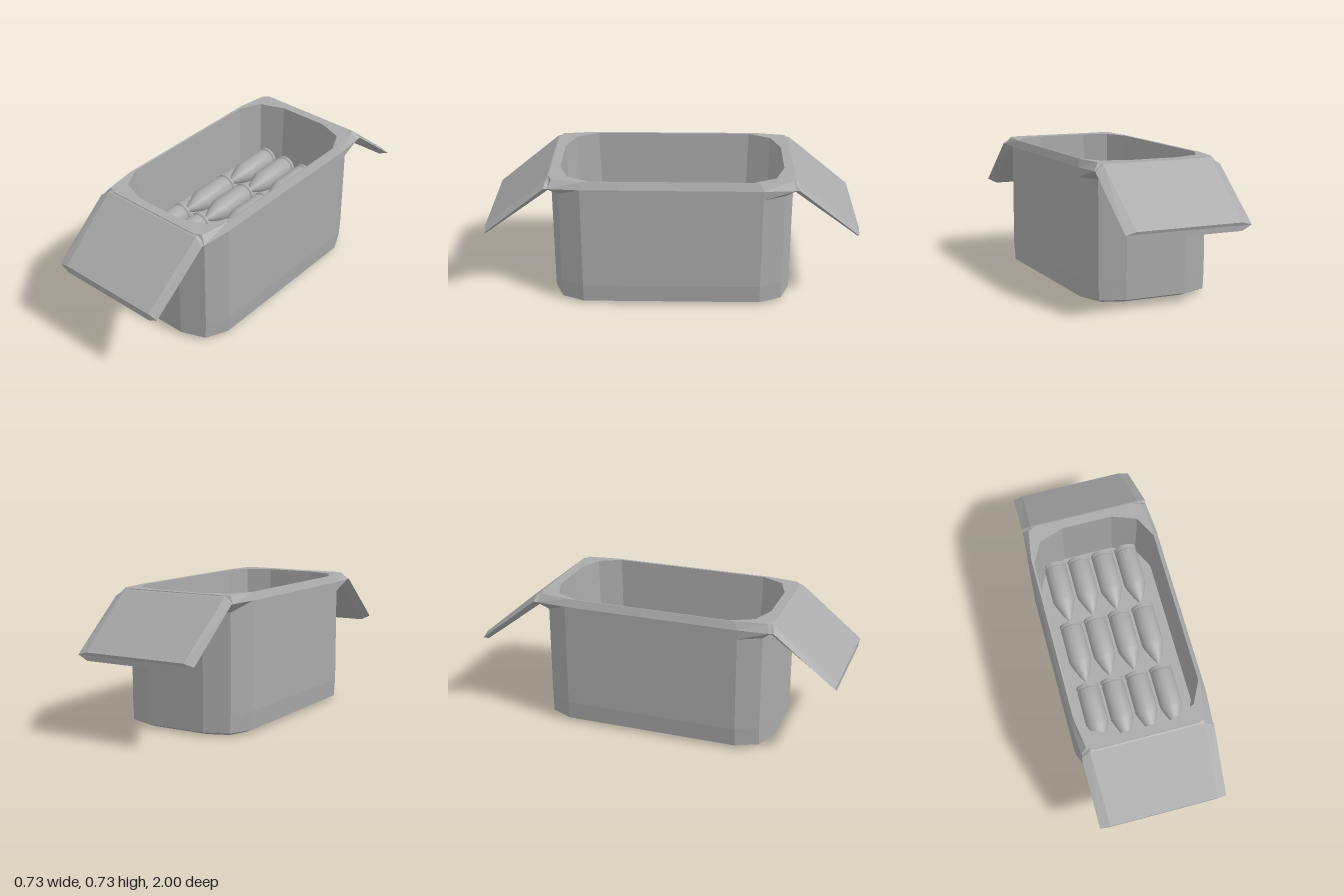
import * as THREE from 'three';
import { toCreasedNormals } from 'three/addons/utils/BufferGeometryUtils.js';

const grey = new THREE.MeshStandardMaterial({ color: 0xaaaaaa });
const V = (x, y, z) => new THREE.Vector3(x, y, z);

// Joins rings of equal point count into a flat-faceted skin with capped ends.
function loft(rings) {
  const pos = [];
  const tri = (a, b, c) => [a, b, c].forEach(p => pos.push(p.x, p.y, p.z));
  const n = rings[0].length;
  for (let r = 0; r < rings.length - 1; r++) {
    for (let i = 0; i < n; i++) {
      const j = (i + 1) % n;
      const a = rings[r][i], b = rings[r][j], c = rings[r + 1][j], d = rings[r + 1][i];
      tri(a, b, c);
      tri(a, c, d);
    }
  }
  const first = rings[0], last = rings[rings.length - 1];
  for (let i = 1; i < n - 1; i++) {
    tri(first[0], first[i + 1], first[i]);
    tri(last[0], last[i], last[i + 1]);
  }
  const g = new THREE.BufferGeometry();
  g.setAttribute('position', new THREE.Float32BufferAttribute(pos, 3));
  g.computeVertexNormals();
  return g;
}

// Horizontal 12-sided ring, mirrored from three corner points (x, z).
function boxRing(y, corner) {
  const q = corner, rev = [...corner].reverse();
  return [
    ...q.map(([x, z]) => V(-x, y, z)).reverse(),
    ...q.map(([x, z]) => V(x, y, z)),
    ...rev.map(([x, z]) => V(x, y, -z)),
    ...q.map(([x, z]) => V(-x, y, -z)),
  ];
}

// Six-sided flap section: pointed sides, flat top and bottom (each as [y, z]).
function flapRing(w, wIn, side, top, bottom) {
  return [
    V(-w, ...side), V(-wIn, ...bottom), V(wIn, ...bottom),
    V(w, ...side), V(wIn, ...top), V(-wIn, ...top),
  ];
}

function add(group, name, geometry) {
  const mesh = new THREE.Mesh(geometry, grey);
  mesh.name = name;
  group.add(mesh);
  return mesh;
}

export function createModel() {
  const model = new THREE.Group();
  model.name = 'cartridgeBox';

  // Box: bevelled bottom, walls, rim, then down the inside to the floor
  add(model, 'box', loft([
    boxRing(0, [[0.16, 0.6], [0.27, 0.56], [0.31, 0.45]]),
    boxRing(0.02, [[0.17, 0.65], [0.3, 0.6], [0.355, 0.48]]),
    boxRing(0.12, [[0.17, 0.65], [0.305, 0.6], [0.363, 0.48]]),
    boxRing(0.64, [[0.17, 0.65], [0.305, 0.6], [0.363, 0.48]]),
    boxRing(0.69, [[0.29, 0.66], [0.35, 0.65], [0.363, 0.48]]),
    boxRing(0.73, [[0.27, 0.65], [0.32, 0.63], [0.345, 0.46]]),
    boxRing(0.728, [[0.14, 0.6], [0.275, 0.55], [0.335, 0.43]]),
    boxRing(0.35, [[0.14, 0.59], [0.265, 0.54], [0.325, 0.42]]),
  ]));

  // Open flaps sloping down at both ends
  const flap = loft([
    flapRing(0.345, 0.3, [0.69, 0.64], [0.728, 0.645], [0.67, 0.63]),
    flapRing(0.352, 0.305, [0.69, 0.67], [0.722, 0.66], [0.665, 0.65]),
    flapRing(0.345, 0.29, [0.43, 0.995], [0.445, 1], [0.402, 0.995]),
  ]);
  add(model, 'frontFlap', flap);
  add(model, 'backFlap', flap).rotation.y = Math.PI;

  // Cartridges lying in rows with their points to the front
  const profile = [
    [0, 0], [0.064, 0], [0.064, 0.012], [0.056, 0.018], [0.062, 0.028],
    [0.062, 0.225], [0.055, 0.245], [0.03, 0.305], [0, 0.355],
  ].map(([r, y]) => new THREE.Vector2(r, y));
  const cartridge = toCreasedNormals(new THREE.LatheGeometry(profile, 16), 0.6);
  cartridge.rotateX(Math.PI / 2);
  const cartridges = new THREE.Group();
  cartridges.name = 'cartridges';
  for (const z of [-0.545, -0.17, 0.205]) {
    for (let i = 0; i < 4; i++) {
      add(cartridges, 'cartridge', cartridge).position.set(-0.212 + i * 0.139, 0.385, z);
    }
  }
  model.add(cartridges);
  return model;
}
